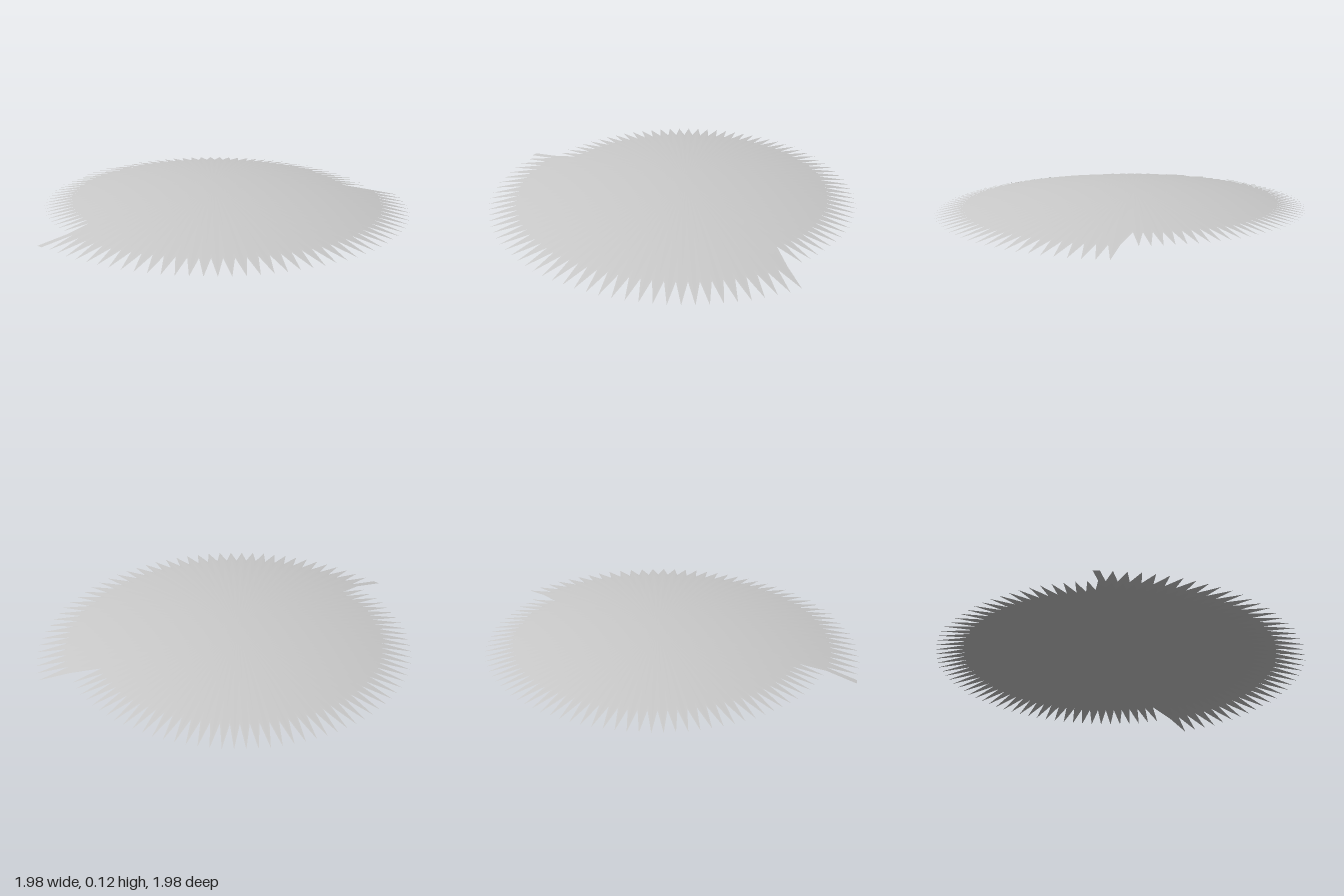
import * as THREE from 'three';

const CENTRE = -0.075, APEX = 0.12, CURVE = 0.104;
const TEETH = 100, STEP = 360 / TEETH, DEPTH = 0.16;
const BIG = 1.065, SMALL = 0.915; // tip radii of the two halves

// Point on the shallow dome from polar angle (degrees) and radius
function domePoint([deg, r]) {
  const a = THREE.MathUtils.degToRad(deg);
  return [CENTRE + r * Math.cos(a), Math.max(0, APEX - CURVE * r * r), CENTRE + r * Math.sin(a)];
}

function surface(points, index, name) {
  const g = new THREE.BufferGeometry();
  g.setAttribute('position', new THREE.Float32BufferAttribute(points.flatMap(domePoint), 3));
  g.setIndex(index);
  g.computeVertexNormals();
  const mesh = new THREE.Mesh(g, new THREE.MeshStandardMaterial({ color: 0xcccccc, side: THREE.DoubleSide }));
  mesh.name = name;
  return mesh;
}

// Zigzag rim: a larger half and a smaller half that meet in two steps
function rimOutline() {
  const rim = [];
  const addTeeth = (first, last, tip) => {
    for (let n = first; n <= last; n++) {
      rim.push([n * STEP, tip], [(n + 0.5) * STEP, tip - DEPTH]);
    }
  };
  rim.push([-45, BIG - DEPTH]);
  addTeeth(-12, 30, BIG);
  rim.push([112, 0.915], [113.4, 0.775]);
  addTeeth(32, 86, SMALL);
  return rim;
}

export function createModel() {
  const group = new THREE.Group();
  group.name = 'toothedDome';

  // Domed disc: the rim outline repeated in shrinking rings
  const rim = rimOutline(), N = rim.length, RINGS = 16;
  const points = [[0, 0]], index = [];
  for (let k = 1; k <= RINGS; k++) {
    for (const [deg, r] of rim) points.push([deg, (r * k) / RINGS]);
  }
  for (let i = 0; i < N; i++) {
    const j = (i + 1) % N;
    index.push(0, 1 + j, 1 + i);
    for (let k = 0; k < RINGS - 1; k++) {
      const a = 1 + k * N + i, b = 1 + k * N + j;
      index.push(a, b, b + N, a, b + N, a + N);
    }
  }
  group.add(surface(points, index, 'domedDisc'));

  // Blunt tooth overhanging the front step
  group.add(surface(
    [[109.8, BIG - DEPTH], [111.2, 1.07], [113, 1.075], [112, 0.915]],
    [0, 2, 1, 0, 3, 2], 'bluntTooth'));
  return group;
}
